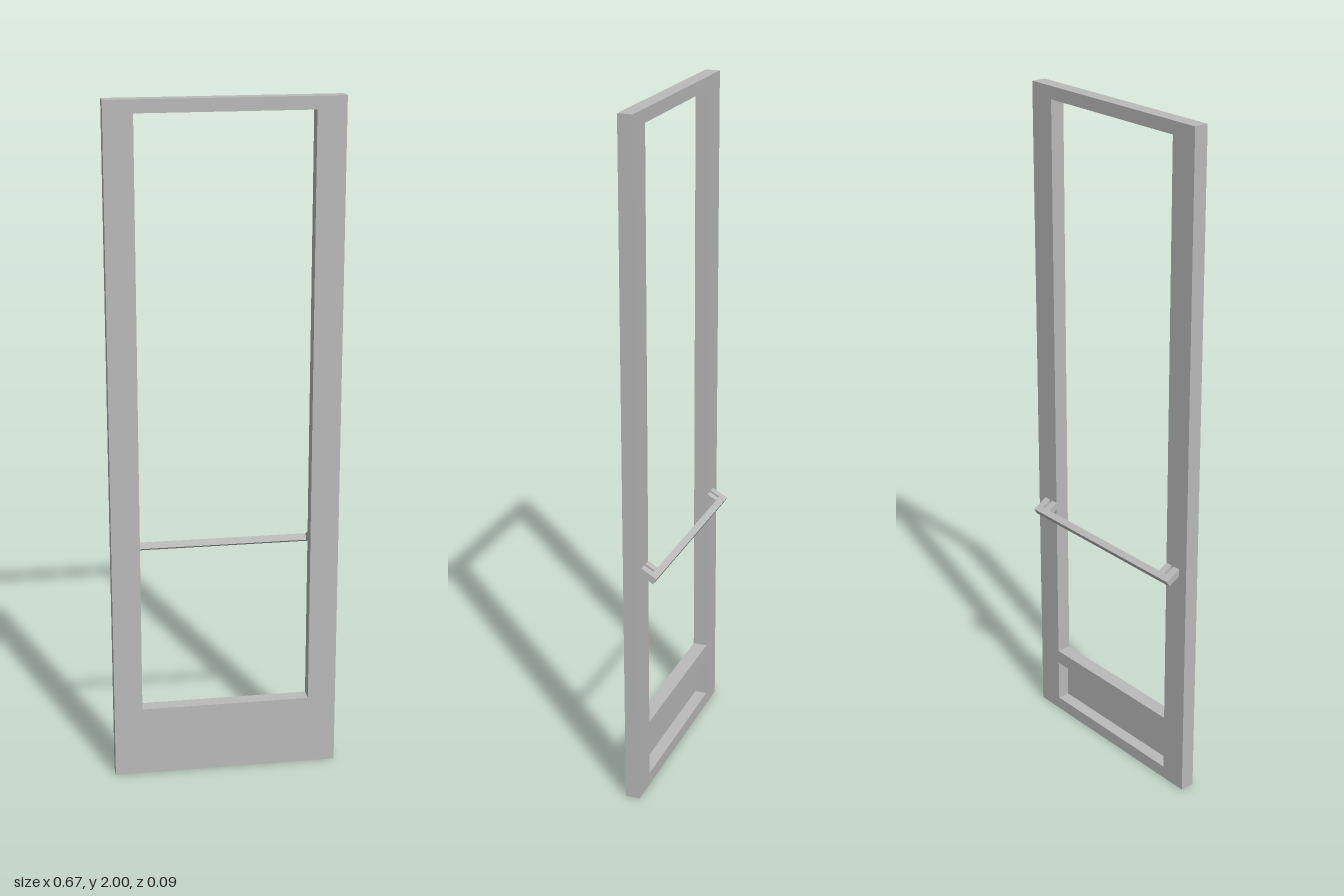
import * as THREE from 'three';

const grey = new THREE.MeshStandardMaterial({ color: 0xbababa });
grey.name = 'satin grey';

const HALF_W = 0.333, HEIGHT = 2, DEPTH = 0.043;
const OPEN_HALF = 0.25;

function rect(Type, x0, y0, x1, y1) {
  const r = new Type();
  r.moveTo(x0, y0);
  r.lineTo(x1, y0);
  r.lineTo(x1, y1);
  r.lineTo(x0, y1);
  r.closePath();
  return r;
}

function addMesh(parent, name, geometry) {
  const mesh = new THREE.Mesh(geometry, grey);
  mesh.name = name;
  parent.add(mesh);
  return mesh;
}

// Extrudes a [z, y] side profile along x from x0 to x1
function sideExtrude(profile, x0, x1) {
  const shape = new THREE.Shape(profile.map(([z, y]) => new THREE.Vector2(-z, y)));
  const geometry = new THREE.ExtrudeGeometry(shape, { depth: x1 - x0, bevelEnabled: false });
  geometry.rotateY(Math.PI / 2);
  geometry.translate(x0, 0, 0);
  return geometry;
}

export function createModel() {
  const door = new THREE.Group();
  door.name = 'door';

  // Door frame with the tall opening and the kick panel recess
  const outline = rect(THREE.Shape, -HALF_W, 0, HALF_W, HEIGHT);
  outline.holes.push(
    rect(THREE.Path, -OPEN_HALF, 0.21, OPEN_HALF, 1.963),
    rect(THREE.Path, -OPEN_HALF, 0.038, OPEN_HALF, 0.167)
  );
  addMesh(door, 'doorFrame', new THREE.ExtrudeGeometry(outline, { depth: DEPTH, bevelEnabled: false }));

  // Thin kick panel, flush with the front and recessed at the back
  const panel = addMesh(door, 'kickPanel', new THREE.BoxGeometry(OPEN_HALF * 2, 0.129, 0.006));
  panel.position.set(0, 0.1025, DEPTH - 0.003);

  // Push bar on the back, sloping down and away from the door
  const handle = new THREE.Group();
  handle.name = 'pushBar';
  door.add(handle);
  const barProfile = [[-0.018, 0.696], [-0.028, 0.713], [-0.045, 0.703], [-0.035, 0.686]];
  addMesh(handle, 'bar', sideExtrude(barProfile, -0.303, 0.303));

  // Two arms at each end joining the bar to the door
  const armProfile = [[0, 0.706], [0, 0.729], [-0.028, 0.713], [-0.018, 0.696]];
  for (const [x0, x1] of [[0.25, 0.271], [0.281, 0.303]]) {
    addMesh(handle, 'leftArm', sideExtrude(armProfile, x0, x1));
    addMesh(handle, 'rightArm', sideExtrude(armProfile, -x1, -x0));
  }

  return door;
}
